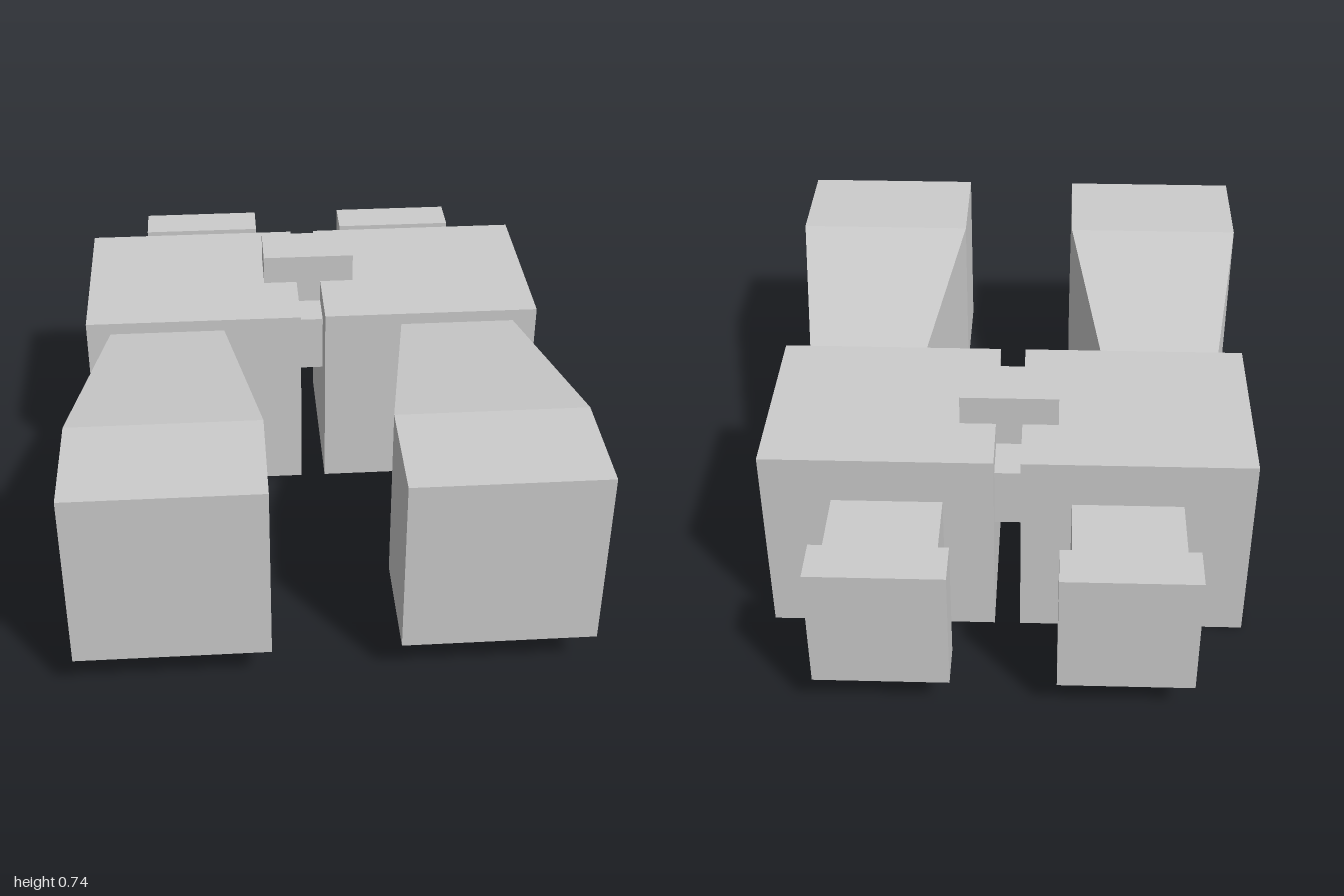
import * as THREE from 'three';

const material = new THREE.MeshStandardMaterial({ color: 0xcccccc, flatShading: true });

// Box given by its minimum and maximum corners
function block(name, min, max) {
  const size = max.map((v, i) => v - min[i]);
  const mesh = new THREE.Mesh(new THREE.BoxGeometry(...size), material);
  mesh.position.set(...max.map((v, i) => (v + min[i]) / 2));
  mesh.name = name;
  return mesh;
}

// Square barrel: straight at the front, tapering towards the body
function barrel() {
  const wide = 0.574, narrow = 0.37;
  const geometry = new THREE.BoxGeometry(wide, wide, 2, 1, 1, 2);
  const p = geometry.attributes.position;
  for (let i = 0; i < p.count; i++) {
    const z = p.getZ(i);
    const s = z < -0.5 ? narrow / wide : 1;
    p.setXYZ(i, p.getX(i) * s, p.getY(i) * s, z < -0.5 ? -0.02 : z > 0.5 ? 1 : 0.65);
  }
  geometry.computeVertexNormals();
  const mesh = new THREE.Mesh(geometry, material);
  mesh.position.set(0.476, 0.416, 0);
  mesh.name = 'barrel';
  return mesh;
}

// One half of the binoculars; the parts are symmetric so the other half is shifted across
function half(side) {
  const group = new THREE.Group();
  group.name = side > 0 ? 'leftHalf' : 'rightHalf';
  group.add(
    block('prismHousing', [0.04, 0, -0.62], [0.738, 0.64, -0.02]),
    barrel(),
    block('eyepieceTube', [0.193, 0.155, -0.865], [0.528, 0.49, -0.62]),
    block('eyecup', [0.157, 0.12, -1], [0.562, 0.527, -0.865])
  );
  for (const mesh of group.children) mesh.position.x *= side;
  return group;
}

export function createModel() {
  const model = new THREE.Group();
  model.name = 'binoculars';
  model.add(half(1), half(-1));

  // Bridge between the halves with the focus knob on top
  model.add(
    block('hinge', [-0.04, 0.375, -0.57], [0.04, 0.565, -0.13]),
    block('focusKnob', [-0.15, 0.565, -0.425], [0.15, 0.735, -0.255])
  );
  return model;
}
